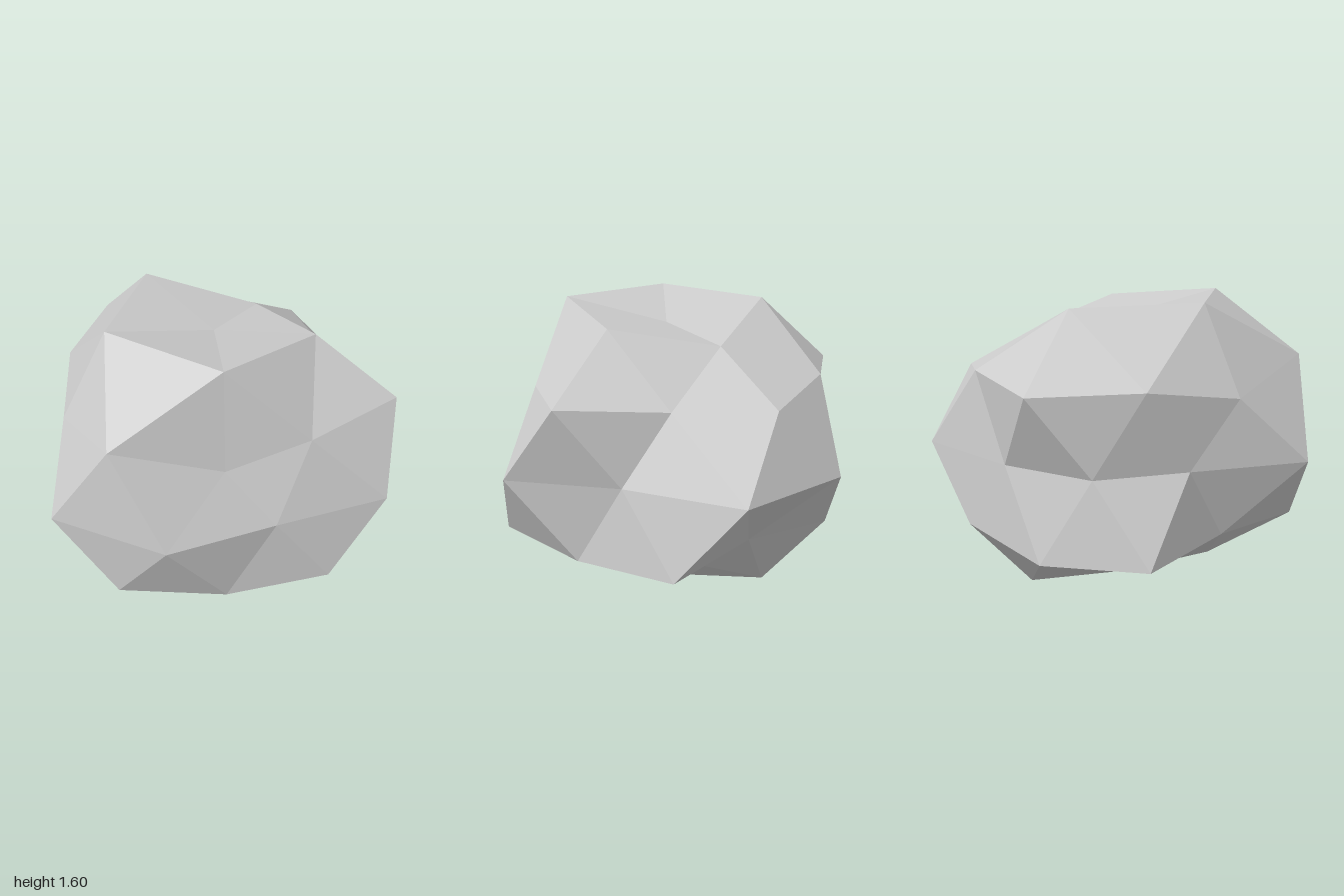
import * as THREE from 'three';

// Rock: a once-subdivided icosahedron with a pole on y, squashed in y,
// whose corners are pushed in or out by a radius each.
const CENTRE = new THREE.Vector3(-0.005, 0.815, 0.04);
const SQUASH = 0.85;

// Point at unit height h and azimuth (degrees, from +x towards +z), pushed to radius r
function corner(h, azimuth, r) {
  const a = THREE.MathUtils.degToRad(azimuth);
  const flat = Math.sqrt(1 - h * h);
  return new THREE.Vector3(flat * Math.cos(a), h * SQUASH, flat * Math.sin(a))
    .multiplyScalar(r).add(CENTRE);
}

// Ring of corners; heights alternate between icosahedron corners and edge midpoints
function ring(heights, start, radii) {
  const step = 360 / radii.length;
  return radii.map((r, i) => corner(heights[i % heights.length], start + i * step, r));
}

function rockGeometry() {
  const top = corner(1, 0, 0.78);
  const crown = ring([0.851], 0, [0.98, 1.07, 1.08, 1.055, 0.838]);
  const upper = ring([0.447, 0.526], 0,
    [1.055, 0.845, 0.75, 1.085, 0.906, 0.932, 1.068, 0.972, 0.965, 0.81]);
  const waist = ring([0], 18,
    [1.015, 0.79, 0.96, 1.046, 0.741, 0.815, 0.81, 1.04, 1.078, 0.777]);
  const lower = ring([-0.526, -0.447], 0,
    [0.935, 1.005, 0.93, 1.025, 0.845, 1.068, 1.01, 0.995, 0.8, 1.06]);
  const base = ring([-0.851], 36, [0.82, 0.91, 0.815, 1.057, 0.742]);
  const bottom = corner(-1, 0, 0.959);

  const points = [];
  const face = (flip, a, b, c) => points.push(...(flip ? [a, c, b] : [a, b, c]));
  const at = (list, i) => list[(i + list.length) % list.length];

  // Cap from a pole through its five-sided ring to the ten-sided ring
  function cap(pole, five, ten, offset, flip) {
    for (let i = 0; i < 5; i++) {
      const k = 2 * i + offset;
      const p = five[i], next = at(five, i + 1);
      face(flip, pole, next, p);
      face(flip, p, at(ten, k + 1), at(ten, k));
      face(flip, p, at(ten, k), at(ten, k - 1));
      face(flip, p, next, at(ten, k + 1));
    }
  }
  cap(top, crown, upper, 0, false);
  cap(bottom, base, lower, 1, true);

  // Two zigzag bands meeting at the waist
  for (let j = 0; j < 10; j++) {
    for (const [band, flip] of [[upper, false], [lower, true]]) {
      face(flip, band[j], at(band, j + 1), waist[j]);
      face(flip, band[j], waist[j], at(waist, j - 1));
    }
  }

  const geometry = new THREE.BufferGeometry().setFromPoints(points);
  geometry.computeVertexNormals(); // unshared corners give flat facets
  return geometry;
}

export function createModel() {
  const stone = new THREE.MeshStandardMaterial({ color: 0xcccccc });
  stone.name = 'pale stone grey';
  stone.flatShading = true;

  const rock = new THREE.Mesh(rockGeometry(), stone);
  rock.name = 'rock';

  const group = new THREE.Group();
  group.name = 'boulder';
  group.add(rock);
  return group;
}
